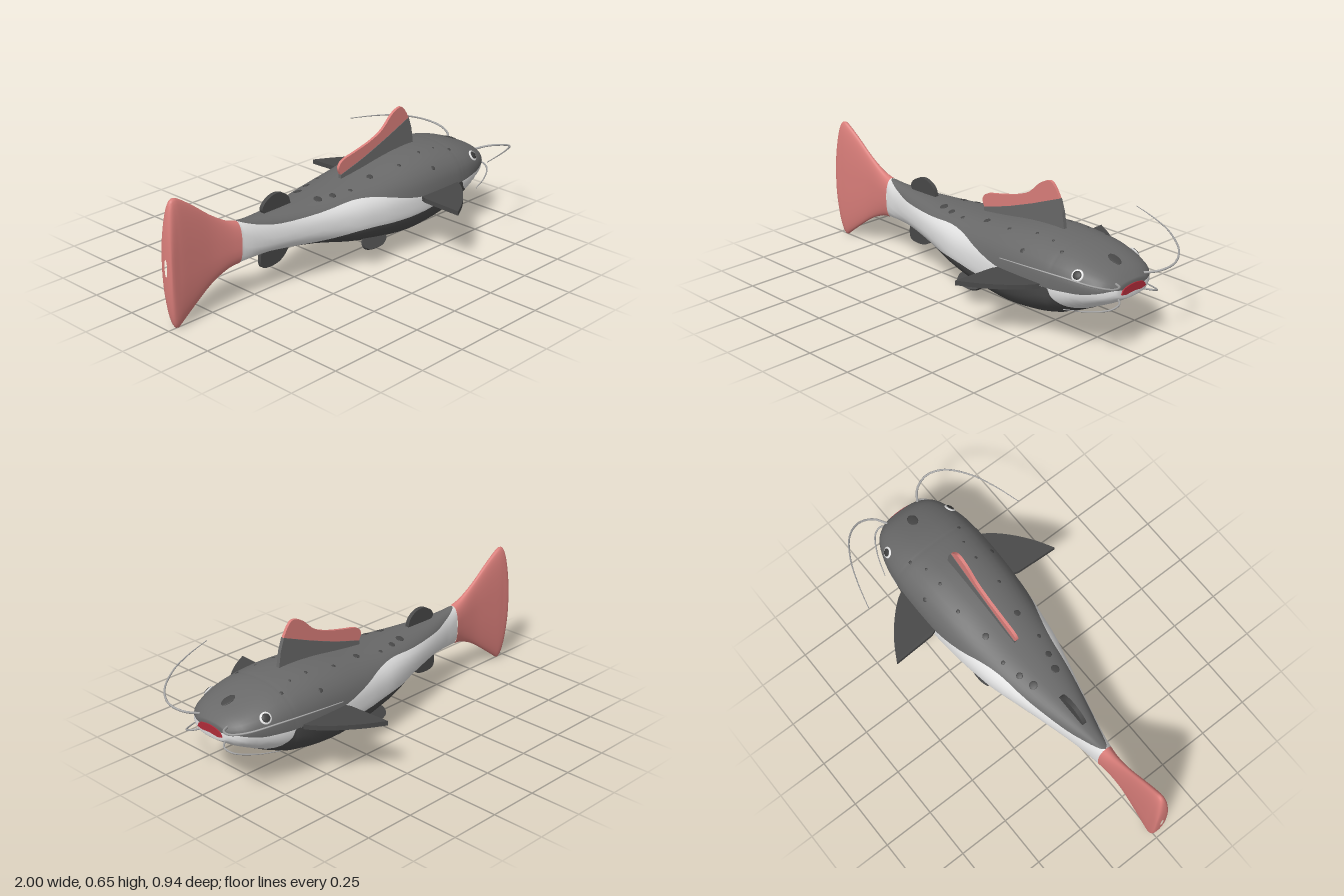
import * as THREE from 'three';

const mat = (name, color) => {
  const m = new THREE.MeshStandardMaterial({ color });
  m.name = name;
  return m;
};
const V3 = (p) => new THREE.Vector3(...p);
const V2 = (p) => new THREE.Vector2(...p);

// Catmull-Rom resampling of a table of section rows
function resample(rows, steps) {
  const out = [];
  const row = (i) => rows[Math.max(0, Math.min(rows.length - 1, i))];
  for (let i = 0; i < rows.length - 1; i++) {
    for (let k = 0; k < steps; k++) {
      const t = k / steps;
      out.push(rows[i].map((b, c) => {
        const a = row(i - 1)[c], d = row(i + 1)[c], e = row(i + 2)[c];
        return b + 0.5 * t * (d - a + t * (2 * a - 5 * b + 4 * d - e + t * (3 * (b - d) + e - a)));
      }));
    }
  }
  out.push(rows[rows.length - 1]);
  return out;
}

// Loft of rounded sections; rows are [x, top, bottom, halfWidth, bandTop, bandBottom]
function loft(rows, power) {
  const strips = [8, 6, 8], half = 22, ring = 44;
  const pos = [], groups = [[], [], []];
  const sections = resample(rows, 3);
  for (const [x, top, bottom, hw, bandTop, bandBottom] of sections) {
    const cy = (top + bottom) / 2, hy = Math.max((top - bottom) / 2, 1e-4);
    const angleAt = (y) => {
      const t = THREE.MathUtils.clamp((y - cy) / hy, -1, 1);
      return Math.acos(Math.sign(t) * Math.abs(t) ** (power / 2));
    };
    const a1 = angleAt(bandTop);
    const stops = [0, a1, Math.max(a1, angleAt(bandBottom)), Math.PI];
    const angles = [];
    strips.forEach((n, s) => {
      for (let k = 0; k < n; k++) angles.push(THREE.MathUtils.lerp(stops[s], stops[s + 1], k / n));
    });
    angles.push(Math.PI);
    for (let j = 0; j < ring; j++) {
      const a = angles[j <= half ? j : ring - j], side = j <= half ? 1 : -1;
      const c = Math.cos(a), s = Math.max(0, Math.sin(a));
      pos.push(x, cy + hy * Math.sign(c) * Math.abs(c) ** (2 / power), side * hw * s ** (2 / power));
    }
  }
  for (let i = 0; i < sections.length - 1; i++) {
    for (let j = 0; j < ring; j++) {
      const h = j < half ? j : ring - 1 - j;
      const g = groups[h < 8 ? 0 : h < 14 ? 1 : 2];
      const a = i * ring + j, b = i * ring + (j + 1) % ring;
      g.push(a, b, b + ring, a, b + ring, a + ring);
    }
  }
  const geo = new THREE.BufferGeometry();
  geo.setAttribute('position', new THREE.Float32BufferAttribute(pos, 3));
  geo.setIndex(groups.flat());
  let start = 0;
  groups.forEach((g, i) => { geo.addGroup(start, g.length, i); start += g.length; });
  geo.computeVertexNormals();
  return geo;
}

// Flat fin plate: a curved edge followed by straight corners
function plate(curve, corners, depth) {
  const shape = new THREE.Shape();
  shape.moveTo(...curve[0]);
  shape.splineThru(curve.slice(1).map(V2));
  corners.forEach((p) => shape.lineTo(...p));
  return new THREE.ExtrudeGeometry(shape, { depth, bevelEnabled: false, curveSegments: 20 })
    .translate(0, 0, -depth / 2);
}

// Tube that narrows towards its end
function taperedTube(points, r0, r1) {
  const path = new THREE.CatmullRomCurve3(points.map(V3)), n = 32, radial = 8;
  const geo = new THREE.TubeGeometry(path, n, r0, radial);
  const p = geo.attributes.position, v = new THREE.Vector3();
  for (let i = 0; i < p.count; i++) {
    const t = Math.floor(i / (radial + 1)) / n, c = path.getPointAt(t);
    v.fromBufferAttribute(p, i).sub(c).multiplyScalar(1 + t * (r1 / r0 - 1)).add(c);
    p.setXYZ(i, v.x, v.y, v.z);
  }
  return geo;
}

export function createModel() {
  const group = new THREE.Group();
  const back = mat('backGrey', 0x696969), belly = mat('bellyGrey', 0x4c4c4c);
  const white = mat('bandWhite', 0xe4e4e4), red = mat('tailRed', 0xdb7f7b);
  const dark = mat('finGrey', 0x484848), mouthRed = mat('mouthRed', 0xb02c3a);
  const whiskerGrey = mat('whiskerGrey', 0xa2a2a2), pupilGrey = mat('pupilGrey', 0x3c3c3c);
  const add = (name, geo, material) => {
    const m = new THREE.Mesh(geo, material);
    m.name = name;
    group.add(m);
    return m;
  };

  // Body with grey back, white side band and dark belly
  const body = add('body', loft([
    [-0.60, 0.395, 0.193, 0.04, 0.395, 0.193],
    [-0.55, 0.388, 0.196, 0.05, 0.375, 0.197],
    [-0.50, 0.385, 0.198, 0.06, 0.36, 0.2],
    [-0.40, 0.383, 0.197, 0.085, 0.342, 0.203],
    [-0.20, 0.388, 0.17, 0.14, 0.345, 0.2],
    [-0.02, 0.4, 0.125, 0.188, 0.36, 0.215],
    [0.10, 0.412, 0.1, 0.208, 0.35, 0.212],
    [0.20, 0.425, 0.085, 0.222, 0.325, 0.205],
    [0.35, 0.447, 0.07, 0.235, 0.29, 0.205],
    [0.50, 0.457, 0.08, 0.238, 0.285, 0.225],
    [0.62, 0.45, 0.105, 0.236, 0.281, 0.28],
    [0.66, 0.444, 0.121, 0.232, 0.28, 0.279],
    [0.68, 0.442, 0.128, 0.23, 0.28, 0.24],
    [0.74, 0.43, 0.155, 0.222, 0.285, 0.205],
    [0.82, 0.405, 0.195, 0.2, 0.29, 0.195],
    [0.89, 0.375, 0.23, 0.165, 0.305, 0.23],
    [0.93, 0.345, 0.255, 0.115, 0.315, 0.255],
    [0.94, 0.332, 0.265, 0.08, 0.31, 0.265],
    [0.942, 0.301, 0.299, 0.002, 0.3, 0.299],
  ], 2.4), [back, white, belly]);

  // Tail fin, flaring from the end of the body
  const tailRows = [
    [-1, 0.34, 0.26, 0.008], [-0.996, 0.45, 0.16, 0.03], [-0.985, 0.54, 0.07, 0.034],
    [-0.97, 0.59, 0.02, 0.034], [-0.95, 0.605, 0.004, 0.033], [-0.92, 0.595, 0.025, 0.032],
    [-0.84, 0.54, 0.085, 0.027], [-0.75, 0.47, 0.147, 0.024], [-0.66, 0.415, 0.185, 0.03],
    [-0.60, 0.395, 0.193, 0.04],
  ].map(([x, t, b, w]) => [x, t, b, w, b + (t - b) * 0.7, b + (t - b) * 0.3]);
  add('tailFin', loft(tailRows, 2.4), [red, red, red]);

  // Dorsal fin: grey base with a red upper part
  add('dorsalFinBase', plate([[0.05, 0.425], [0.2, 0.468], [0.35, 0.522], [0.515, 0.588]],
    [[0.535, 0.53], [0.55, 0.44], [0.3, 0.42], [0.05, 0.39]], 0.018), back);
  add('dorsalFinTop', plate([[0.05, 0.425], [0.038, 0.46], [0.065, 0.492], [0.15, 0.512], [0.25, 0.537],
    [0.33, 0.572], [0.4, 0.633], [0.455, 0.654], [0.485, 0.635], [0.515, 0.588]],
  [[0.35, 0.522], [0.2, 0.468]], 0.014), red);

  // Small fins near the tail
  add('adiposeFin', plate([[-0.43, 0.37], [-0.45, 0.4], [-0.43, 0.432], [-0.38, 0.455], [-0.33, 0.45],
    [-0.29, 0.42], [-0.275, 0.37]], [], 0.02), dark);
  add('analFin', plate([[-0.46, 0.21], [-0.465, 0.15], [-0.45, 0.12], [-0.4, 0.113], [-0.35, 0.122],
    [-0.31, 0.15], [-0.275, 0.2]], [], 0.02), dark);

  // Mouth
  add('mouth', plate([[-0.078, 0.29], [-0.06, 0.314], [0, 0.324], [0.06, 0.314], [0.078, 0.29]],
    [[0.05, 0.284], [0, 0.288], [-0.05, 0.284]], 0.016).rotateY(Math.PI / 2).translate(0.938, 0, 0), mouthRed);

  // Flat oval laid on the body where a ray meets it
  const ray = new THREE.Raycaster();
  const oval = (name, from, dir, rx, ry, thick, material, lift = 0) => {
    ray.set(V3(from), V3(dir));
    const hit = ray.intersectObject(body)[0];
    if (!hit) return;
    const m = add(name, new THREE.SphereGeometry(1, 16, 10).scale(rx, ry, thick), material);
    m.position.copy(hit.point).addScaledVector(hit.face.normal, lift);
    m.lookAt(hit.point.clone().add(hit.face.normal));
  };
  oval('snoutSpot', [0.835, 1, 0.001], [0, -1, 0], 0.024, 0.036, 0.004, dark);

  const spots = [[-0.16, 0.064, 0.02], [-0.085, 0.085, 0.016], [0.01, 0.105, 0.01], [0.155, 0.092, 0.016],
    [0.325, 0.12, 0.009], [0.48, 0.105, 0.008], [0.58, 0.11, 0.006], [0.66, 0.143, 0.009]];

  for (const s of [1, -1]) {
    const side = s > 0 ? 'right' : 'left';
    // Eyes
    oval(side + 'EyeWhite', [0.79, 0.364, s], [0, 0, -s], 0.028, 0.028, 0.007, white);
    oval(side + 'Pupil', [0.79, 0.364, s], [0, 0, -s], 0.02, 0.02, 0.006, pupilGrey, 0.004);
    // Spots on the back and flank
    for (const [x, z, r] of spots) oval(side + 'BackSpot', [x, 1, z * s], [0, -1, 0], r, r, 0.003, dark);
    oval(side + 'FlankSpot', [0.48, 0.39, s], [0, 0, -s], 0.011, 0.011, 0.003, dark);

    // Paired fins
    add(side + 'PectoralFin', plate([[0.345, 0.47 * s], [0.44, 0.415 * s], [0.53, 0.345 * s],
      [0.6, 0.27 * s], [0.645, 0.19 * s]], [[0.38, 0.19 * s], [0.355, 0.26 * s]], 0.022)
      .rotateX(Math.PI / 2).translate(0, 0.278, 0), dark);
    add(side + 'PelvicFin', plate([[0.2, 0.01], [0.19, -0.045], [0.15, -0.07], [0.09, -0.072],
      [0.045, -0.055], [0.045, -0.02], [0.08, 0.01]], [], 0.014)
      .rotateX(-0.6 * s).translate(0, 0.15, 0.138 * s), dark);

    // Whiskers
    add(side + 'UpperWhisker', taperedTube([[0.915, 0.335, 0.085], [0.975, 0.35, 0.13], [0.996, 0.368, 0.2],
      [0.96, 0.393, 0.275], [0.85, 0.425, 0.35], [0.72, 0.443, 0.4], [0.58, 0.455, 0.438]]
      .map(([x, y, z]) => [x, y, z * s]), 0.006, 0.002), whiskerGrey);
    add(side + 'LowerWhisker', taperedTube([[0.92, 0.27, 0.075], [0.96, 0.262, 0.11], [0.95, 0.247, 0.15],
      [0.87, 0.228, 0.2], [0.76, 0.215, 0.237]].map(([x, y, z]) => [x, y, z * s]), 0.005, 0.002), whiskerGrey);
  }
  return group;
}
